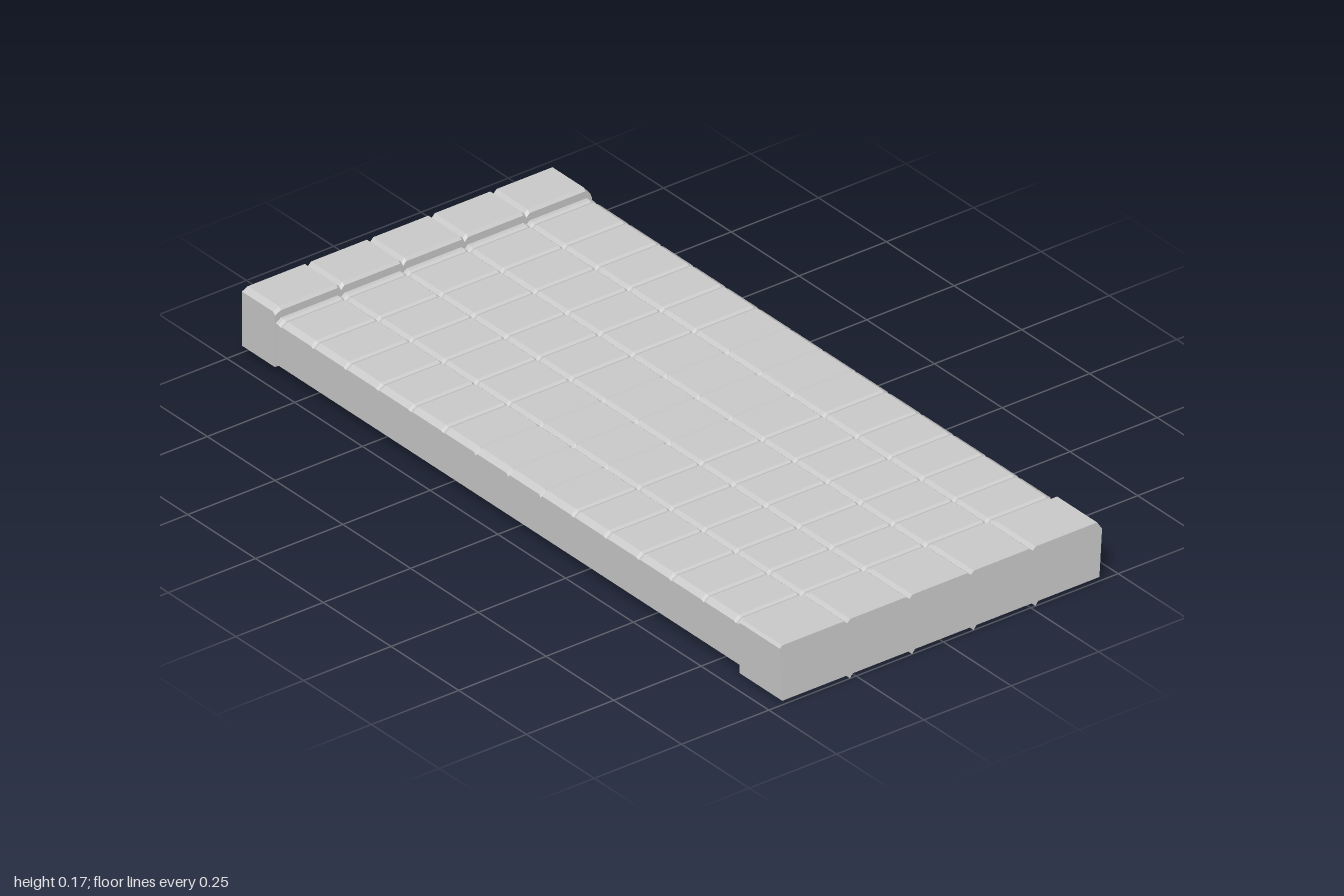
import * as THREE from 'three';

const SEAMS = [-0.263, -0.086, 0.09, 0.268]; // z of the joints between the long planks

// Closed cross-section in (z, y): ridged underside, chamfered sides, grooved top
function section({ bottom, top, ridge, groove, back, front, drop = 0, w = 0.009 }) {
  const pts = [];
  const zb = back[0][0], zf = front[0][0];
  pts.push([zb, bottom]);
  for (const s of SEAMS) pts.push([s - w, bottom], [s, bottom - ridge], [s + w, bottom]);
  pts.push([zf, bottom]);
  for (const [z, y] of front.slice(1)) pts.push([z, y - drop]);
  for (const s of [...SEAMS].reverse()) {
    pts.push([s + w, top - drop], [s, top - groove - drop], [s - w, top - drop]);
  }
  for (const [z, y] of back.slice(1).reverse()) pts.push([z, y - drop]);
  return pts;
}

// Skin a row of equal-length sections along x and close both ends
function loft(name, stations, material, slant = () => 0) {
  const pos = [];
  const put = (s, i) => {
    const [z, y] = s.pts[i % s.pts.length];
    pos.push(s.x + slant(s.x, y), y, z);
  };
  for (let k = 0; k < stations.length - 1; k++) {
    const a = stations[k], b = stations[k + 1];
    for (let i = 0; i < a.pts.length; i++) {
      put(a, i); put(b, i); put(a, i + 1);
      put(a, i + 1); put(b, i); put(b, i + 1);
    }
  }
  const first = stations[0], last = stations[stations.length - 1];
  const contour = first.pts.map(([z, y]) => new THREE.Vector2(z, y));
  for (const [i, j, k] of THREE.ShapeUtils.triangulateShape(contour, [])) {
    put(first, i); put(first, j); put(first, k);
    put(last, i); put(last, k); put(last, j);
  }
  const geo = new THREE.BufferGeometry();
  geo.setAttribute('position', new THREE.Float32BufferAttribute(pos, 3));
  geo.computeVertexNormals();
  const mesh = new THREE.Mesh(geo, material);
  mesh.name = name;
  return mesh;
}

export function createModel() {
  const group = new THREE.Group();
  group.name = 'plankPlatform';
  const mat = new THREE.MeshStandardMaterial({ color: 0xcccccc, flatShading: true });

  // Main deck: cross joints every 0.12, the three near the middle cut deeper
  const deck = drop => section({
    bottom: 0.026, top: 0.142, ridge: 0.006, groove: 0.008, drop,
    back: [[-0.45, 0.026], [-0.45, 0.132], [-0.435, 0.142]],
    front: [[0.455, 0.026], [0.455, 0.132], [0.44, 0.142]],
  });
  const stations = [{ x: -0.885, pts: deck(0) }];
  for (let i = -6; i <= 8; i++) {
    const x = -0.14 + i * 0.12;
    const deep = i >= 0 && i <= 2;
    const half = deep ? 0.005 : 0.008;
    stations.push({ x: x - half, pts: deck(0) });
    stations.push({ x, pts: deck(deep ? 0.007 : 0.003) });
    stations.push({ x: x + half, pts: deck(0) });
  }
  stations.push({ x: 0.845, pts: deck(0) });
  group.add(loft('deck', stations, mat));

  // Raised end beam on the -x side, with a small bevel on its inner edge
  const beam = drop => section({
    bottom: 0.018, top: 0.168, ridge: 0.006, groove: 0.009, drop,
    back: [[-0.45, 0.018], [-0.45, 0.147], [-0.432, 0.168]],
    front: [[0.457, 0.018], [0.457, 0.16], [0.44, 0.168]],
  });
  group.add(loft('raisedEndBeam', [
    { x: -1, pts: beam(0) },
    { x: -0.885, pts: beam(0) },
    { x: -0.878, pts: beam(0.007) },
  ], mat));

  // Wider end beam on the +x side, back face and outer face leaning slightly
  const wide = section({
    bottom: 0.01, top: 0.148, ridge: 0.01, groove: 0.008,
    back: [[-0.447, 0.01], [-0.461, 0.128], [-0.448, 0.148]],
    front: [[0.461, 0.01], [0.461, 0.142], [0.454, 0.148]],
  });
  group.add(loft('wideEndBeam', [{ x: 0.842, pts: wide }, { x: 1, pts: wide }], mat,
    (x, y) => (x > 0.9 ? -0.07 * y : 0)));

  return group;
}
